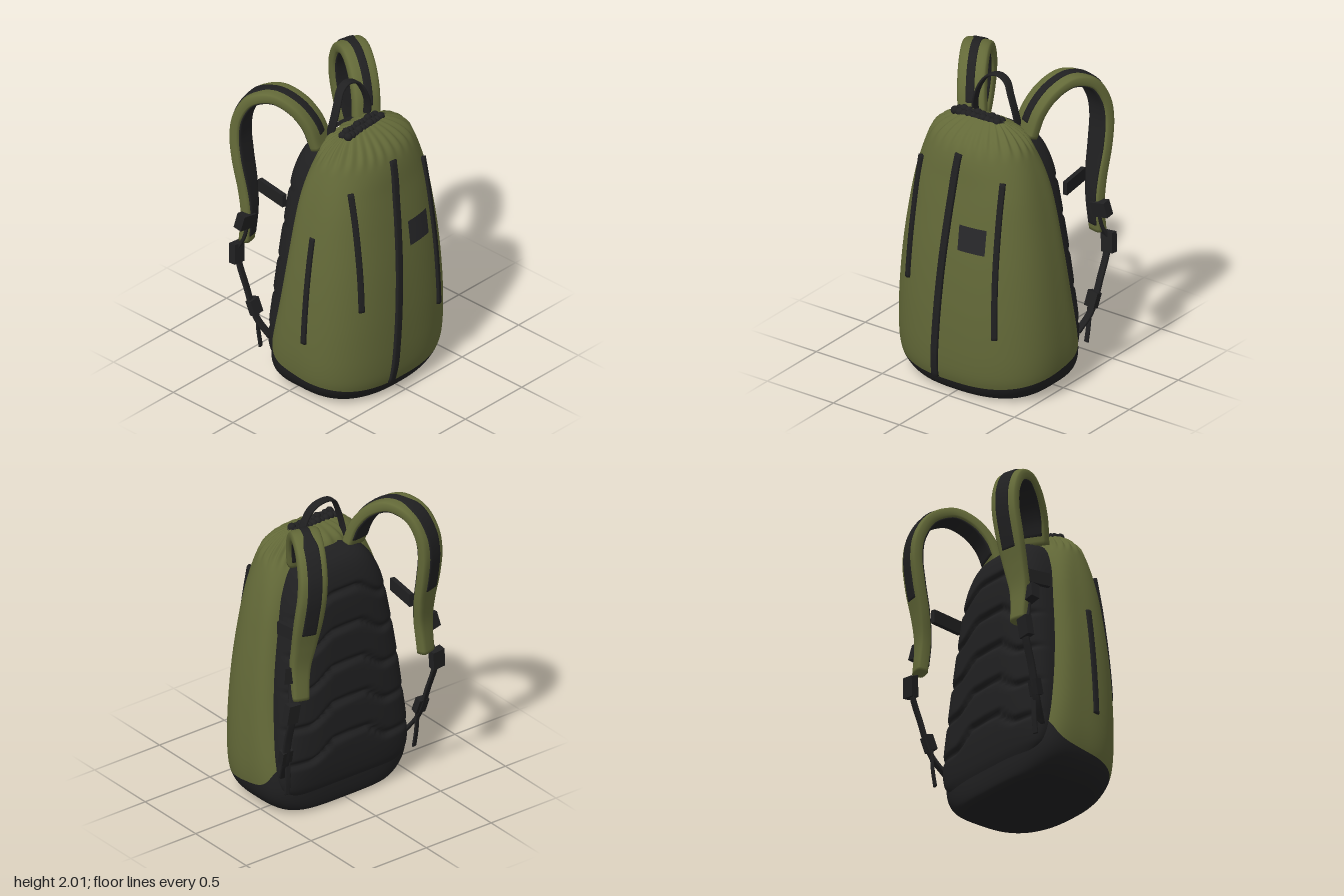
import * as THREE from 'three';

const olive = new THREE.MeshStandardMaterial({ color: 0x636938 });
olive.name = 'olive fabric';
const black = new THREE.MeshStandardMaterial({ color: 0x202021 });
black.name = 'black fabric';
const charcoal = new THREE.MeshStandardMaterial({ color: 0x28282a });
charcoal.name = 'charcoal patch';

const V = (x, y, z) => new THREE.Vector3(x, y, z);
const spow = (v, p) => Math.sign(v) * Math.pow(Math.abs(v), p);

// Smooth lookup in a table of rows [key, a, b, ...]
function lookup(table, k, c) {
  const last = table.length - 1;
  if (k <= table[0][0]) return table[0][c];
  if (k >= table[last][0]) return table[last][c];
  let i = 0;
  while (table[i + 1][0] < k) i++;
  const slope = (j) => {
    const a = table[Math.max(j - 1, 0)], b = table[Math.min(j + 1, last)];
    return (b[c] - a[c]) / (b[0] - a[0]);
  };
  const h = table[i + 1][0] - table[i][0], t = (k - table[i][0]) / h, t2 = t * t, t3 = t2 * t;
  return (2 * t3 - 3 * t2 + 1) * table[i][c] + (t3 - 2 * t2 + t) * h * slope(i)
    + (3 * t2 - 2 * t3) * table[i + 1][c] + (t3 - t2) * h * slope(i + 1);
}

// Skin over rows of points; closed rings wrap around
function loft(name, rows, material, closed = true) {
  const n = rows[0].length, cols = closed ? n : n - 1, index = [];
  for (let j = 0; j < rows.length - 1; j++) {
    for (let i = 0; i < cols; i++) {
      const a = j * n + i, b = j * n + (i + 1) % n;
      index.push(a, b, b + n, a, b + n, a + n);
    }
  }
  const geometry = new THREE.BufferGeometry().setFromPoints(rows.flat());
  geometry.setIndex(index);
  geometry.computeVertexNormals();
  const mesh = new THREE.Mesh(geometry, material);
  mesh.name = name;
  return mesh;
}

// Flat rounded band swept along a curve; offset moves it along its thickness
function band(name, points, side, width, thick, material, { from = 0, to = 1, offset = 0, steps = 48 } = {}) {
  const curve = new THREE.CatmullRomCurve3(points), rows = [];
  const ring = (u, scale) => {
    const p = curve.getPointAt(u), t = curve.getTangentAt(u);
    const w = side.clone().addScaledVector(t, -side.dot(t)).normalize();
    const n = t.clone().cross(w), wide = typeof width === 'function' ? width(u) : width;
    p.addScaledVector(n, offset);
    return Array.from({ length: 20 }, (_, i) => {
      const a = i / 20 * Math.PI * 2;
      return p.clone().addScaledVector(w, spow(Math.cos(a), 0.5) * wide / 2 * scale)
        .addScaledVector(n, spow(Math.sin(a), 0.5) * thick / 2 * scale);
    });
  };
  rows.push(ring(from, 0));
  for (let j = 0; j <= steps; j++) rows.push(ring(from + (to - from) * j / steps, 1));
  rows.push(ring(to, 0));
  return loft(name, rows, material);
}

// Bag sections: height, half width, front z, back z, z of the widest point
const bag = [
  [0, 0.40, 0.40, -0.19, 0.10], [0.02, 0.44, 0.435, -0.215, 0.10], [0.06, 0.49, 0.465, -0.228, 0.10],
  [0.12, 0.53, 0.49, -0.235, 0.10], [0.2, 0.55, 0.503, -0.235, 0.10], [0.35, 0.557, 0.51, -0.205, 0.10],
  [0.6, 0.545, 0.508, -0.15, 0.11], [0.9, 0.515, 0.49, -0.105, 0.12], [1.2, 0.468, 0.455, -0.075, 0.13],
  [1.4, 0.425, 0.425, -0.055, 0.14], [1.55, 0.38, 0.402, -0.045, 0.15], [1.64, 0.34, 0.37, -0.03, 0.16],
  [1.7, 0.285, 0.32, -0.005, 0.16], [1.74, 0.225, 0.26, 0.05, 0.16], [1.765, 0.165, 0.205, 0.115, 0.16],
];
const FRONT = 2.5;
function bagPoint(y, a) {
  const [hw, zf, zb, zc] = [1, 2, 3, 4].map((c) => lookup(bag, y, c));
  const top = THREE.MathUtils.smoothstep(y, 1.3, 1.7);
  const n = Math.cos(a) > 0 ? FRONT - 0.4 * top : 4 - 1.9 * top;
  const s = spow(Math.sin(a), 2 / n), c = spow(Math.cos(a), 2 / n);
  // drawstring pleats near the top
  const pleat = 1 + 0.045 * THREE.MathUtils.smoothstep(y, 1.58, 1.72) * Math.sin(26 * a + 1.5 * Math.sin(3 * a));
  return V(hw * s * pleat, y, zc + (c > 0 ? zf - zc : zc - zb) * c * pleat);
}
function frontPoint(x, y, lift) {
  const hw = lookup(bag, y, 1), zf = lookup(bag, y, 2), zc = lookup(bag, y, 4);
  return V(x, y, zc + (zf - zc) * Math.pow(1 - Math.pow(Math.abs(x) / hw, FRONT), 1 / FRONT) + lift);
}

// Base seam: low at the front, climbing at the back corners
const seam = [[-0.24, 0.40], [-0.18, 0.34], [-0.1, 0.235], [0, 0.19], [0.3, 0.14], [0.5, 0.095]];
const angles = Array.from({ length: 208 }, (_, i) => i / 208 * Math.PI * 2);
const seamY = angles.map((a) => lookup(seam, bagPoint(0.2, a).z, 1));

// Back panel: height, half width, rear z
const pad = [
  [0.12, 0.40, -0.225], [0.2, 0.47, -0.25], [0.35, 0.49, -0.262], [0.6, 0.475, -0.255], [0.9, 0.445, -0.238],
  [1.2, 0.40, -0.22], [1.4, 0.36, -0.205], [1.52, 0.315, -0.18], [1.6, 0.265, -0.145], [1.65, 0.2, -0.095], [1.68, 0.1, -0.03],
];
function padPoint(y, a) {
  const x = lookup(pad, y, 1) * spow(Math.cos(a), 0.5);
  const edge = lookup(bag, y, 3) + 0.1;
  let z = edge + (lookup(pad, y, 2) - edge) * Math.pow(Math.sin(a), 0.5);
  // chevron grooves
  const drop = 0.11 * THREE.MathUtils.smoothstep(Math.abs(x), 0.08, 0.3);
  for (const level of [1.44, 1.2, 0.96, 0.72, 0.48]) {
    z += 0.032 * Math.exp(-Math.pow((y + drop - level) / 0.02, 2)) * Math.sin(a);
  }
  return V(x, y, z);
}

function box(name, size, position, rotation = [0, 0, 0]) {
  const mesh = new THREE.Mesh(new THREE.BoxGeometry(...size), black);
  mesh.position.set(...position);
  mesh.rotation.set(...rotation);
  mesh.name = name;
  return mesh;
}

function shoulderStrap(s) {
  const group = new THREE.Group();
  group.name = s > 0 ? 'leftShoulderStrap' : 'rightShoulderStrap';
  const at = (list) => list.map(([x, y, z]) => V(s * x, y, z));
  const path = at([
    [0.2, 1.64, -0.02], [0.235, 1.79, -0.06], [0.285, 1.905, -0.14], [0.345, 1.962, -0.25], [0.405, 1.92, -0.37],
    [0.44, 1.8, -0.44], [0.455, 1.67, -0.455], [0.462, 1.5, -0.43], [0.465, 1.3, -0.385], [0.475, 1.14, -0.36], [0.485, 0.93, -0.372],
  ]);
  const side = V(1, 0, 0.25 * s);
  const width = (u) => 0.185 - 0.075 * THREE.MathUtils.smoothstep(u, 0.6, 1);
  group.add(
    band('strapPadding', path, side, width, 0.075, olive, { steps: 80 }),
    band('strapLining', path, side, (u) => width(u) - 0.035, 0.02, black, { offset: 0.034, from: 0.03, to: 0.97, steps: 80 }),
    band('strapStripe', path, side, (u) => 0.055 + 0.04 * THREE.MathUtils.smoothstep(u, 0.3, 0.36), 0.016, black,
      { offset: -0.036, from: 0.05, to: 0.7, steps: 80 }),
    // lower webbing with buckles
    band('webbing', at([[0.5, 1.13, -0.325], [0.525, 0.98, -0.345], [0.55, 0.86, -0.385], [0.54, 0.62, -0.32], [0.515, 0.42, -0.26], [0.47, 0.3, -0.19]]),
      side, 0.05, 0.022, black),
    band('webbingTail', at([[0.5, 0.45, -0.27], [0.495, 0.32, -0.265], [0.49, 0.21, -0.25]]), side, 0.035, 0.014, black),
    box('adjuster', [0.11, 0.1, 0.06], [s * 0.54, 1.1, -0.335], [0.15, 0, s * 0.2]),
    box('buckle', [0.085, 0.13, 0.05], [s * 0.56, 0.86, -0.385], [-0.1, 0, s * 0.1]),
    box('lowerBuckle', [0.075, 0.1, 0.045], [s * 0.52, 0.5, -0.275], [-0.3, 0, -s * 0.1]),
    // short tie between strap and bag
    box('chestTie', [0.03, 0.085, 0.24], [s * 0.42, 1.295, -0.22], [0, s * 0.15, 0]),
  );
  return group;
}

function frontZip(name, x0, y0, x1, y1, width) {
  const pts = Array.from({ length: 13 }, (_, i) => {
    const t = i / 12;
    return frontPoint(x0 + (x1 - x0) * t, y0 + (y1 - y0) * t, 0.004);
  });
  const xm = (x0 + x1) / 2, ym = (y0 + y1) / 2;
  const side = frontPoint(xm + 0.02, ym, 0).sub(frontPoint(xm - 0.02, ym, 0));
  return band(name, pts, side, width, 0.03, black);
}

export function createModel() {
  const model = new THREE.Group();
  model.name = 'backpack';

  // base and bag share the seam
  const rowsBetween = (count, yAt) => Array.from({ length: count + 1 }, (_, j) =>
    angles.map((a, i) => bagPoint(yAt(j / count, i), a)));
  const baseRows = rowsBetween(18, (t, i) => seamY[i] * t * t);
  baseRows.unshift(angles.map(() => V(0, 0, 0.1)));
  const bagRows = rowsBetween(70, (t, i) => seamY[i] + (1.765 - seamY[i]) * t);
  model.add(loft('base', baseRows, black), loft('bagBody', bagRows, olive));

  // drawstring opening
  const mouthRing = angles.map((a) => bagPoint(1.765, a));
  model.add(loft('mouth', [mouthRing, angles.map(() => V(0, 1.745, 0.16))], black));
  const beads = new THREE.Group();
  beads.name = 'gatheredMouth';
  const beadGeometry = new THREE.SphereGeometry(0.027, 12, 8);
  for (let i = 0; i < 10; i++) {
    for (const row of [-1, 1]) {
      const bead = new THREE.Mesh(beadGeometry, black);
      const x = -0.18 + i * 0.034;
      bead.position.set(x, 1.758 + 0.006 * Math.sin(i * 2.1 + row), 0.155 - 0.06 * x + row * 0.023);
      bead.name = 'gather';
      beads.add(bead);
    }
  }
  model.add(beads);

  // padded back
  const padRows = Array.from({ length: 131 }, (_, j) =>
    Array.from({ length: 49 }, (_, i) => padPoint(0.12 + 1.56 * j / 130, i / 48 * Math.PI)));
  model.add(loft('backPanel', padRows, black, false));

  // zips and front patch
  model.add(
    frontZip('centreZip', -0.11, 0.1, 0, 1.6, 0.05),
    frontZip('rightFrontZip', -0.34, 0.69, -0.32, 1.48, 0.038),
    frontZip('leftFrontZip', 0.325, 0.46, 0.305, 1.47, 0.038),
    band('sideZip', Array.from({ length: 9 }, (_, i) => {
      const y = 0.44 + 0.09 * i;
      return V(-lookup(bag, y, 1) + 0.002, y, 0.17);
    }), V(0, 0, 1), 0.038, 0.03, black),
    loft('frontPatch', Array.from({ length: 7 }, (_, j) =>
      Array.from({ length: 9 }, (_, i) => frontPoint(0.058 + 0.187 * i / 8, 1.0 + 0.165 * j / 6, 0.006))), charcoal, false),
  );

  // carry handle
  model.add(band('carryHandle', [
    V(-0.155, 1.68, 0.01), V(-0.145, 1.78, 0.03), V(-0.11, 1.89, 0.03), V(-0.06, 1.965, 0.01), V(0.01, 1.988, 0),
    V(0.08, 1.965, 0.01), V(0.125, 1.89, 0.03), V(0.16, 1.78, 0.03), V(0.17, 1.68, 0.01),
  ], V(0, 0, 1), 0.058, 0.016, black));

  model.add(shoulderStrap(1), shoulderStrap(-1));
  return model;
}
